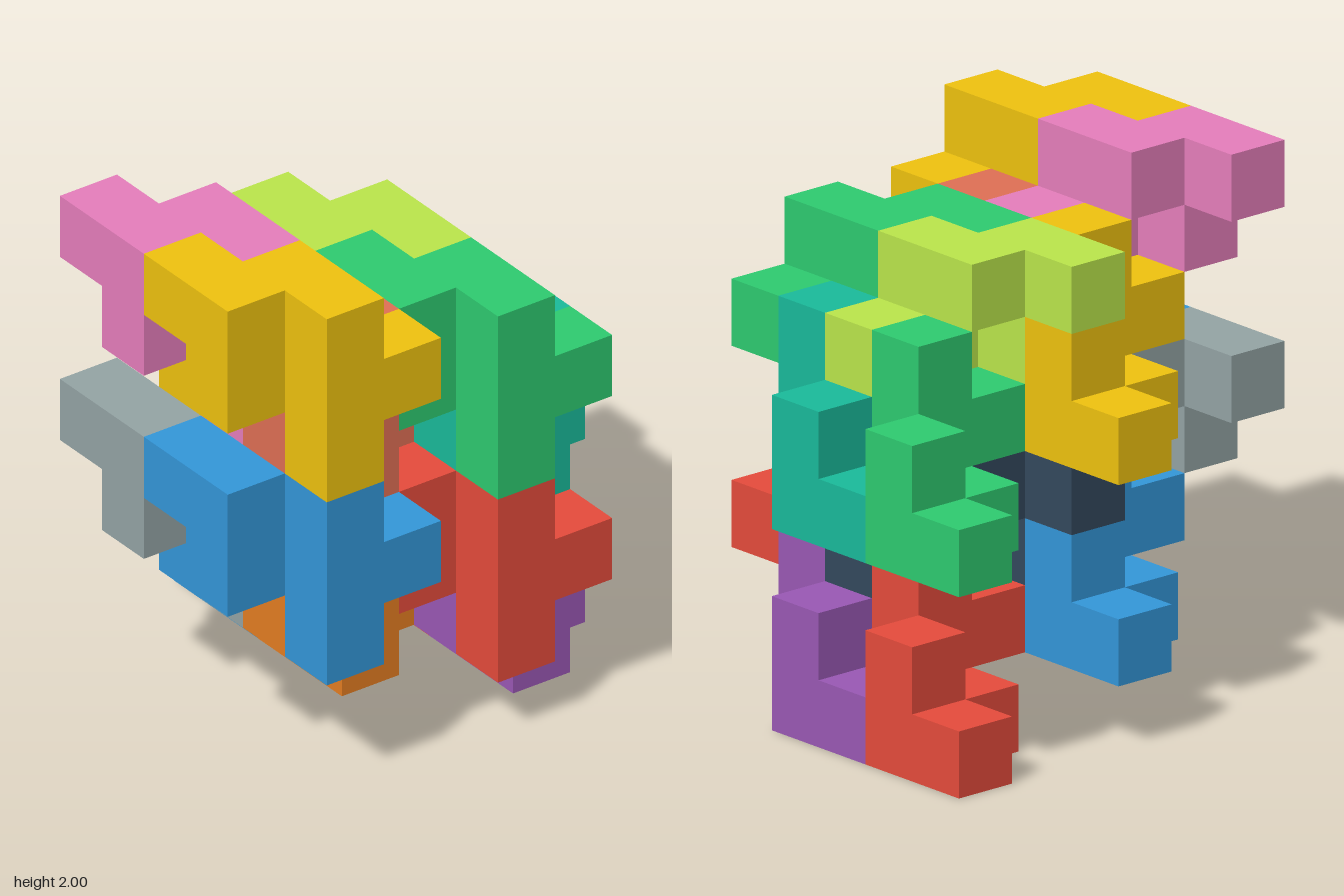
import * as THREE from 'three';
import { mergeGeometries } from 'three/addons/utils/BufferGeometryUtils.js';

const S = 0.25; // edge of one unit cube

// Eight-cube interlocking piece, and the same piece turned half round about x
const hook = [[0, 2, 2], [1, 2, 2], [1, 1, 2], [1, 2, 1], [2, 2, 1], [2, 1, 1], [2, 0, 1], [2, 1, 0]];
const turned = hook.map(([x, y, z]) => [x, 2 - y, 2 - z]);

// Outward directions of a cube's six faces, with the turn that aims a +z plane there
const faces = [
  [[0, 0, 1], 0, 0], [[0, 0, -1], 0, Math.PI],
  [[1, 0, 0], 0, Math.PI / 2], [[-1, 0, 0], 0, -Math.PI / 2],
  [[0, 1, 0], -Math.PI / 2, 0], [[0, -1, 0], Math.PI / 2, 0],
];

// Outer skin of a group of cubes, without the faces between touching cubes
function pieceGeometry(cells) {
  const filled = new Set(cells.map(String));
  const skin = [];
  for (const [x, y, z] of cells) {
    for (const [[dx, dy, dz], rx, ry] of faces) {
      if (filled.has(String([x + dx, y + dy, z + dz]))) continue;
      skin.push(new THREE.PlaneGeometry(S, S).rotateX(rx).rotateY(ry).translate(
        (x + 0.5 + dx / 2) * S, (y + 0.5 + dy / 2) * S, (z + 0.5 + dz / 2) * S));
    }
  }
  return mergeGeometries(skin);
}

export function createModel() {
  const model = new THREE.Group();
  model.name = 'interlockingBlocks';
  const hookGeometry = pieceGeometry(hook);
  const turnedGeometry = pieceGeometry(turned);

  // Four clusters: position in cubes, then colours of
  // left hook, right hook, left turned piece, right turned piece
  const clusters = [
    ['upperFront', [0, 4, 3], [0xe87fbd, 0xf1c40f, 0xf1c40f, 0xe17055]],
    ['upperBack', [0, 3, 0], [0xbce84c, 0x2ecc71, 0x2ecc71, 0x1abc9c]],
    ['lowerFront', [0, 1, 3], [0x95a5a6, 0x3498db, 0x3498db, 0xe67e22]],
    ['lowerBack', [0, 0, 0], [0x34495e, 0xe74c3c, 0xe74c3c, 0x9b59b6]],
  ];
  // Places of the four pieces inside a cluster
  const pieces = [
    ['HookRight', hookGeometry, [1, 1, 1]],
    ['HookLeft', hookGeometry, [3, 1, 1]],
    ['TurnedHookRight', turnedGeometry, [0, 0, 0]],
    ['TurnedHookLeft', turnedGeometry, [2, 0, 0]],
  ];

  for (const [clusterName, [cx, cy, cz], colors] of clusters) {
    const cluster = new THREE.Group();
    cluster.name = clusterName + 'Cluster';
    cluster.position.set((cx - 3) * S, cy * S, (cz - 3.5) * S);
    pieces.forEach(([name, geometry, [x, y, z]], i) => {
      const mesh = new THREE.Mesh(geometry, new THREE.MeshStandardMaterial({ color: colors[i] }));
      mesh.name = clusterName + name;
      mesh.position.set(x * S, y * S, z * S);
      cluster.add(mesh);
    });
    model.add(cluster);
  }
  return model;
}
